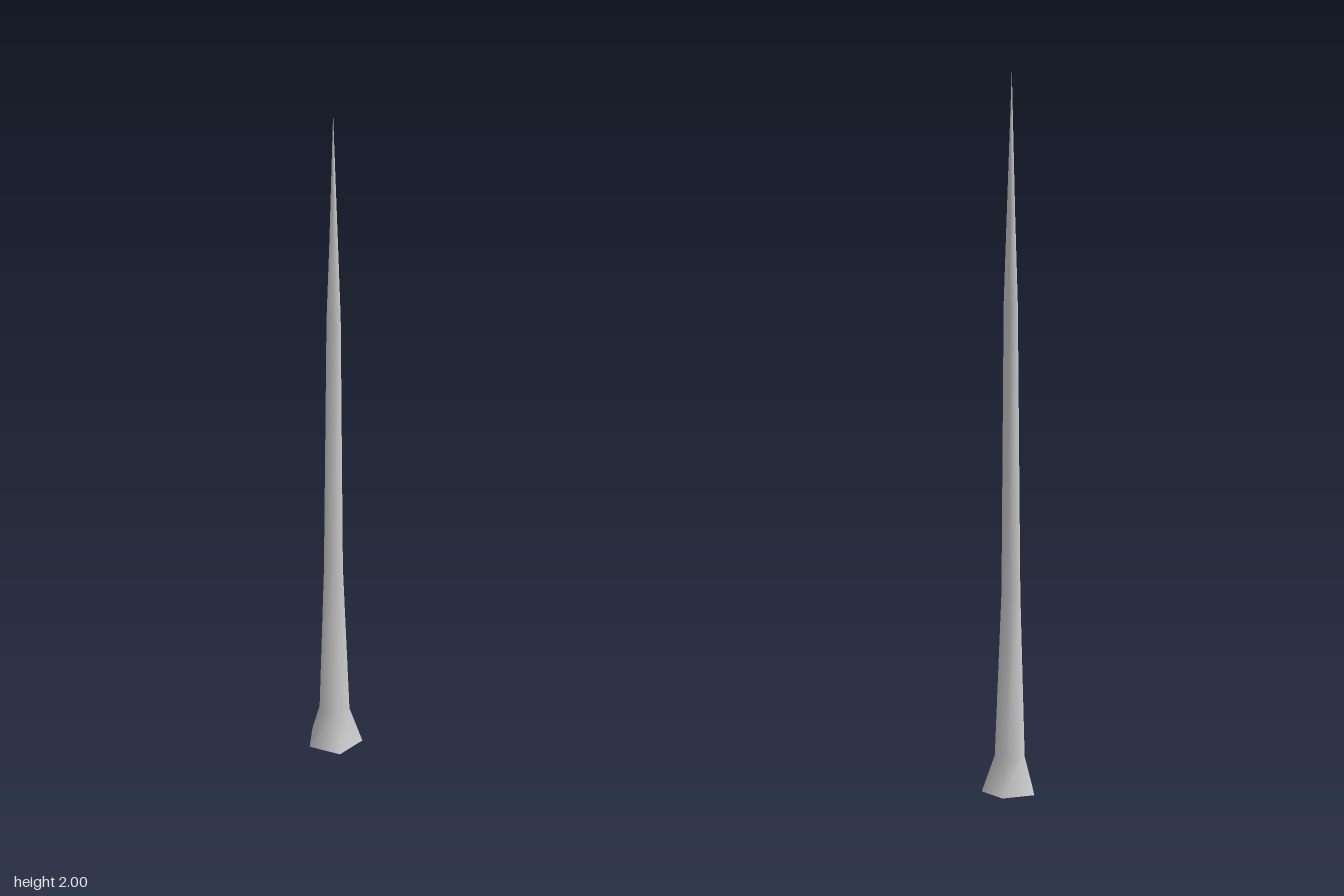
import * as THREE from 'three';

// Five-sided outline of the flared foot, [x, z], counter-clockwise seen from above
const FOOT = [[0.07, -0.04], [-0.013, -0.073], [-0.07, -0.003], [-0.022, 0.07], [0.064, 0.049]];

// Cross-sections up the trunk: height, scale of the foot outline, x and z drift
const RINGS = [
  [0, 1, 0, 0],
  [0.1, 0.57, 0, 0],
  [0.55, 0.36, -0.001, 0],
  [1.35, 0.27, 0, -0.001],
  [1.6, 0.16, -0.001, -0.004],
  [2, 0, -0.004, -0.008],
];

function trunkGeometry() {
  const n = FOOT.length;
  const positions = [];
  const index = [];
  for (const [y, s, dx, dz] of RINGS) {
    for (const [x, z] of FOOT) positions.push(x * s + dx, y, z * s + dz);
  }
  for (let r = 0; r < RINGS.length - 1; r++) {
    for (let i = 0; i < n; i++) {
      const a = r * n + i, b = r * n + (i + 1) % n;
      index.push(a, b, b + n);
      // The last section closes to a point
      if (r < RINGS.length - 2) index.push(a, b + n, a + n);
    }
  }
  const geometry = new THREE.BufferGeometry();
  geometry.setAttribute('position', new THREE.Float32BufferAttribute(positions, 3));
  geometry.setIndex(index);
  geometry.computeVertexNormals();
  return geometry;
}

export function createModel() {
  const group = new THREE.Group();
  group.name = 'bareTrunk';
  // Smooth tapering trunk, open underneath
  const trunk = new THREE.Mesh(
    trunkGeometry(),
    new THREE.MeshStandardMaterial({ color: 0xcccccc, side: THREE.DoubleSide }),
  );
  trunk.name = 'trunk';
  group.add(trunk);
  return group;
}
